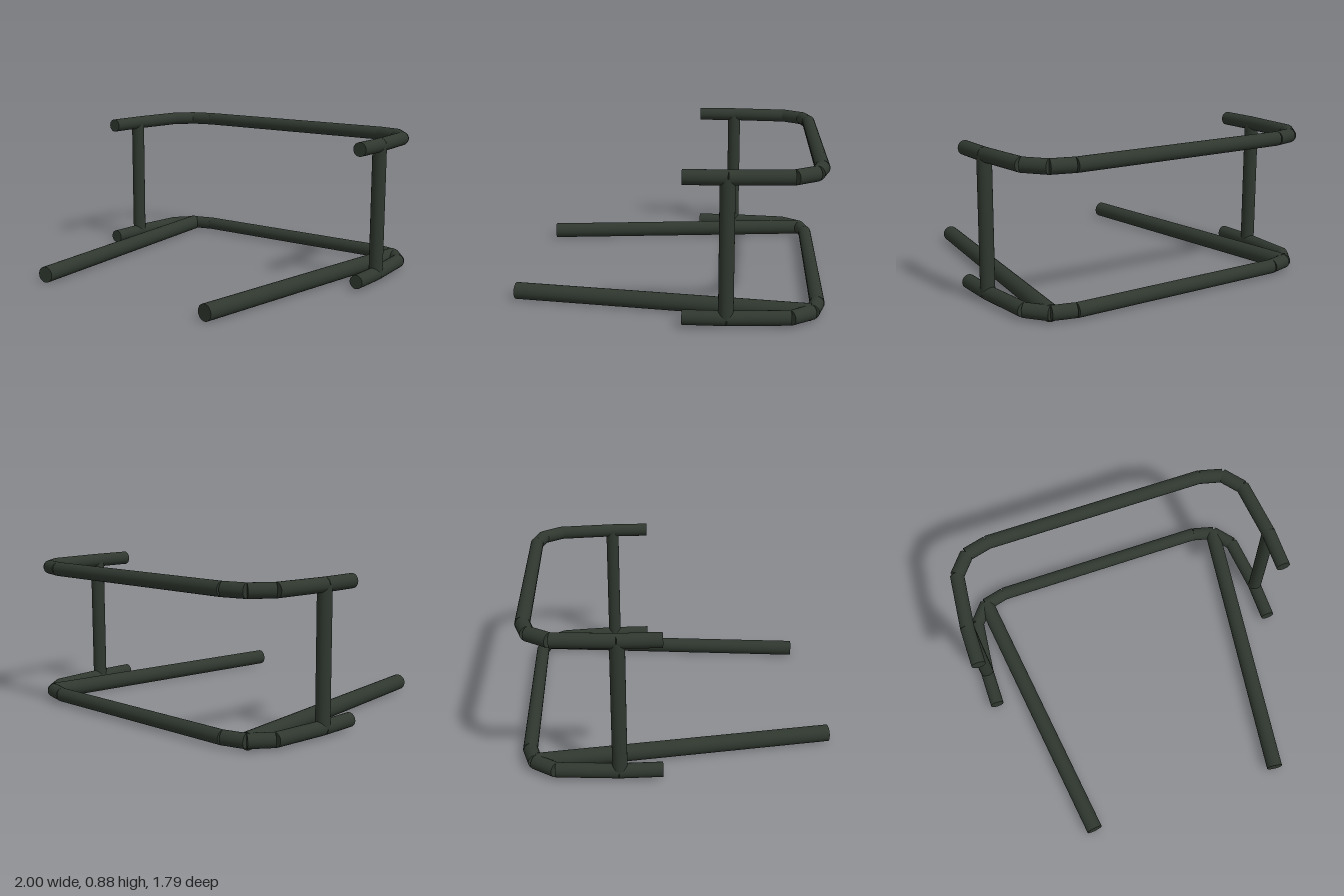
import * as THREE from 'three';

export function createModel() {
  const group = new THREE.Group();
  const tubeMaterial = new THREE.MeshStandardMaterial({ color: 0x2f372f });
  tubeMaterial.name = 'dark green tube';

  // Straight capped tube between two points
  function addTube(name, from, to, radius, parent) {
    const a = new THREE.Vector3(...from), b = new THREE.Vector3(...to);
    const dir = b.clone().sub(a);
    const mesh = new THREE.Mesh(new THREE.CylinderGeometry(radius, radius, dir.length(), 24), tubeMaterial);
    mesh.name = name;
    mesh.position.copy(a).add(b).multiplyScalar(0.5);
    mesh.quaternion.setFromUnitVectors(new THREE.Vector3(0, 1, 0), dir.normalize());
    parent.add(mesh);
  }

  const R = 0.042, lowY = 0.052, highY = 0.835;

  // Half outline of a rail, from the back bar round to the open front end (x, z)
  const bend = [[0.695, -0.853], [0.83, -0.818], [0.923, -0.7], [0.957, -0.35], [0.957, -0.108]];
  const names = ['backCorner', 'sideCorner', 'sideRail', 'railEnd'];

  // Lower and upper U-shaped rails
  for (const [railName, y] of [['lowerRail', lowY], ['upperRail', highY]]) {
    const rail = new THREE.Group();
    rail.name = railName;
    addTube('backBar', [-0.695, y, -0.855], [0.695, y, -0.855], R, rail);
    for (const s of [1, -1]) {
      const side = s > 0 ? 'Left' : 'Right';
      names.forEach((n, i) => {
        const [x0, z0] = bend[i], [x1, z1] = bend[i + 1];
        addTube(n + side, [s * x0, y, z0], [s * x1, y, z1], R, rail);
      });
    }
    group.add(rail);
  }

  // Upright posts and long floor legs
  for (const s of [1, -1]) {
    const side = s > 0 ? 'Left' : 'Right';
    addTube('post' + side, [s * 0.957, lowY, -0.347], [s * 0.957, highY, -0.347], R, group);
    addTube('floorLeg' + side, [s * 0.826, 0.05, -0.815], [s * 0.61, 0.05, 0.885], 0.049, group);
  }

  return group;
}
